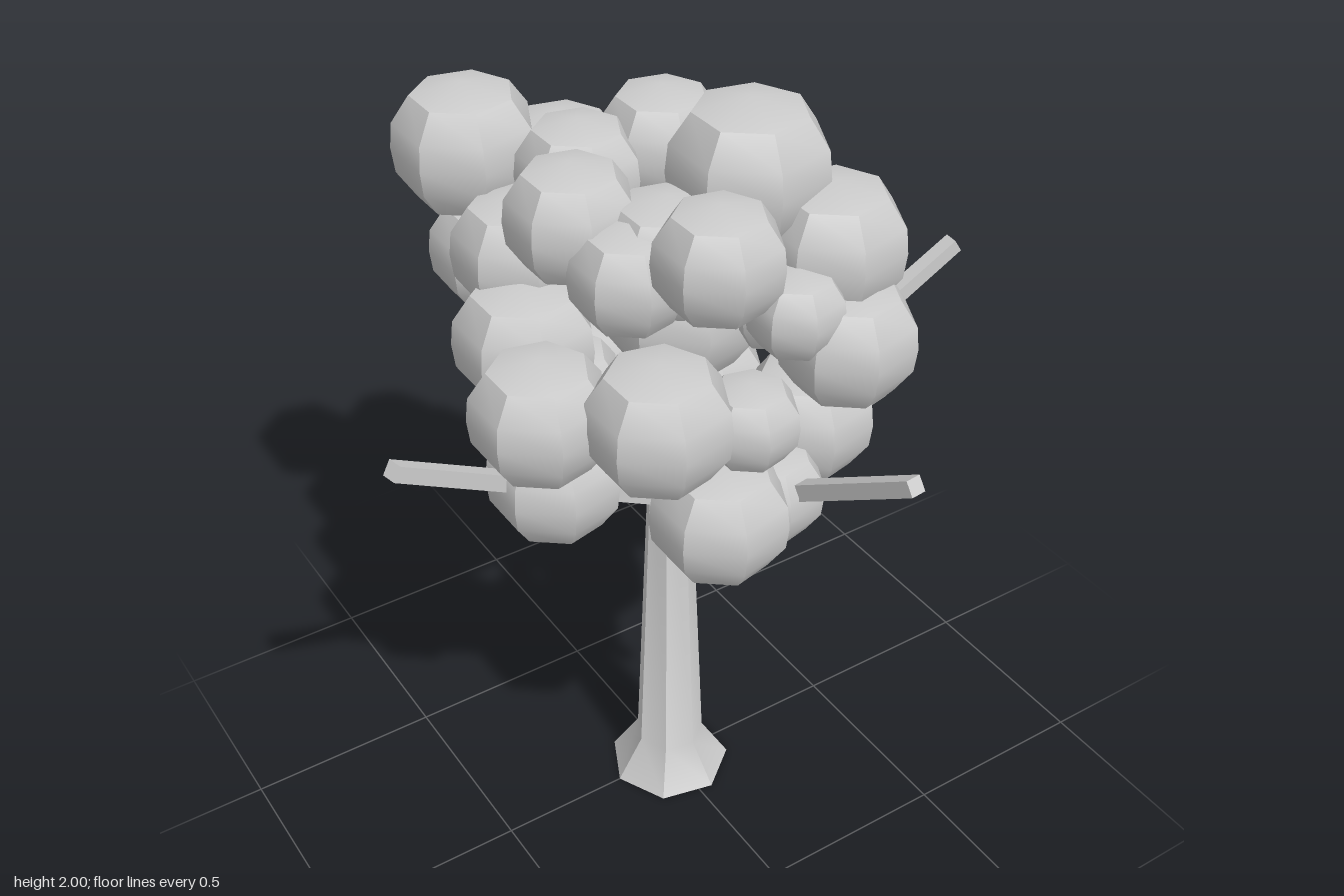
import * as THREE from 'three';
import { toCreasedNormals } from 'three/addons/utils/BufferGeometryUtils.js';

const CREASE = Math.PI / 6;
const V = (x, y, z) => new THREE.Vector3(x, y, z);

export function createModel() {
  const tree = new THREE.Group();
  tree.name = 'tree';
  const grey = new THREE.MeshStandardMaterial({ color: 0xcccccc });
  grey.name = 'light grey';

  function add(name, geometry, parent) {
    const mesh = new THREE.Mesh(geometry, grey);
    mesh.name = name;
    parent.add(mesh);
    return mesh;
  }

  // Seven-sided turned solid
  function lathe(points, turn) {
    const profile = points.map(([r, y]) => new THREE.Vector2(r, y));
    return toCreasedNormals(new THREE.LatheGeometry(profile, 7).rotateY(turn), CREASE);
  }

  // Trunk with a flared foot
  add('trunk', lathe([[0, 0], [0.161, 0], [0.09, 0.115], [0.05, 1.1], [0, 1.1]], -Math.PI / 2), tree);

  // Four straight square branches rising out of the trunk
  const branches = new THREE.Group();
  branches.name = 'branches';
  tree.add(branches);
  const start = V(0, 0.92, 0);
  const tips = [V(-0.78, 1.425, 0.165), V(0.78, 1.425, 0.08), V(0.08, 1.425, 0.785), V(0, 1.425, -0.79)];
  for (const tip of tips) {
    const length = tip.distanceTo(start);
    const bar = new THREE.CylinderGeometry(0.026, 0.03, length, 4);
    bar.rotateY(Math.PI / 4).rotateX(Math.PI / 2);
    const branch = add('branch', toCreasedNormals(bar, CREASE), branches);
    branch.position.copy(start).lerp(tip, 0.5);
    branch.lookAt(tip);
  }

  // Leaf clumps: squat balls with smooth caps, as [x, y, z, radius]
  const clumps = [
    // crown
    [0.125, 1.835, 0.12, 0.182], [-0.095, 1.78, 0.33, 0.142], [-0.27, 1.765, -0.43, 0.17],
    [-0.11, 1.75, -0.2, 0.145], [0.11, 1.77, -0.2, 0.15], [-0.235, 1.755, -0.02, 0.148],
    [0.22, 1.75, -0.01, 0.155], [-0.19, 1.68, 0.14, 0.135], [-0.09, 1.7, 0.13, 0.15],
    [0.25, 1.68, 0.26, 0.168],
    // middle
    [0.015, 1.6, -0.5, 0.16], [0.1, 1.6, 0.34, 0.11], [-0.27, 1.6, -0.2, 0.155],
    [0.2, 1.56, 0.15, 0.175], [0.23, 1.495, 0.36, 0.157], [0.295, 1.485, -0.21, 0.19],
    [-0.26, 1.46, 0.36, 0.163], [-0.44, 1.44, 0.18, 0.157], [-0.33, 1.45, -0.08, 0.165],
    [-0.18, 1.43, -0.51, 0.155], [-0.07, 1.425, 0.42, 0.11], [0, 1.5, 0.05, 0.18],
    // lower
    [0.42, 1.25, 0.04, 0.115], [0.475, 1.2, 0.1, 0.12], [0.19, 1.26, 0.28, 0.157],
    [-0.135, 1.195, 0.41, 0.157], [-0.37, 1.2, 0.1, 0.155], [0.265, 1.21, -0.355, 0.18],
    [0.28, 1.02, -0.265, 0.16], [-0.05, 1.17, -0.31, 0.15], [-0.2, 1.22, -0.15, 0.15],
    [0.03, 1.165, 0.36, 0.13],
  ];
  const upper = [[0.96, 0.36], [0.7, 0.74], [0, 0.91]];
  const lower = upper.map(([r, y]) => [r, -y]).reverse();
  const ball = lathe([...lower, [1, 0], ...upper], Math.PI / 2);
  const foliage = new THREE.Group();
  foliage.name = 'foliage';
  tree.add(foliage);
  for (const [x, y, z, r] of clumps) {
    const clump = add('leafClump', ball, foliage);
    clump.position.set(x, y, z);
    clump.scale.setScalar(r);
  }

  return tree;
}
